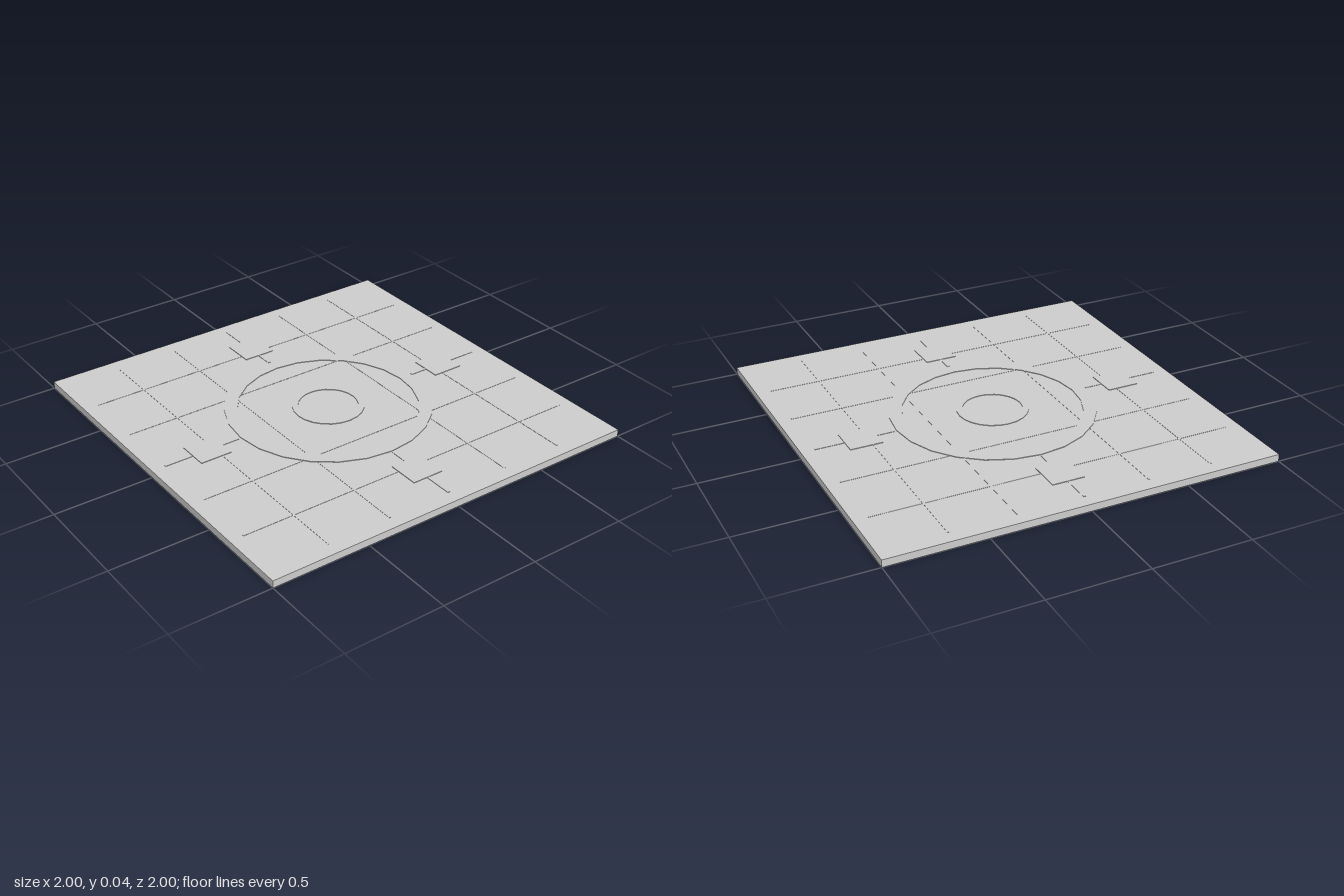
import * as THREE from 'three';

const SLAB_TOP = 0.037;

export function createModel() {
  const group = new THREE.Group();
  const material = new THREE.MeshStandardMaterial({ color: 0xcccccc, flatShading: true });

  const add = (name, geometry, x, y, z) => {
    const mesh = new THREE.Mesh(geometry, material);
    mesh.name = name;
    mesh.position.set(x, y, z);
    group.add(mesh);
  };

  // Box given by its underside height
  const addBox = (name, w, h, d, x, y, z) =>
    add(name, new THREE.BoxGeometry(w, h, d), x, y + h / 2, z);

  // Flat faceted ring with a rectangular section
  const addRing = (name, inner, outer, h) => {
    const profile = [[outer, 0], [outer, h], [inner, h], [inner, 0]]
      .map(([r, y]) => new THREE.Vector2(r, y));
    add(name, new THREE.LatheGeometry(profile, 24), 0, SLAB_TOP, 0);
  };

  // Floor slab
  addBox('floorSlab', 2, SLAB_TOP, 2, 0, 0, 0);

  // Thin grid lines in both directions
  for (const p of [-0.665, -0.335, 0.335, 0.665]) {
    addBox('gridLineAlongZ', 0.008, 0.0012, 1.86, p, SLAB_TOP, 0);
    addBox('gridLineAlongX', 1.86, 0.0012, 0.008, 0, SLAB_TOP, p);
  }

  // Concentric centre rings
  addRing('outerRing', 0.45, 0.515, 0.003);
  addRing('innerRing', 0.15, 0.18, 0.003);

  // Axis strips and square pads on the four sides
  for (const s of [-1, 1]) {
    addBox('axisStripX', 0.405, 0.0018, 0.013, s * 0.7275, SLAB_TOP, 0);
    addBox('axisStripZ', 0.013, 0.0018, 0.405, 0, SLAB_TOP, s * 0.7275);
    addBox('sidePadX', 0.165, 0.003, 0.165, s * 0.7, SLAB_TOP, 0);
    addBox('sidePadZ', 0.165, 0.003, 0.165, 0, SLAB_TOP, s * 0.7);
  }

  return group;
}
